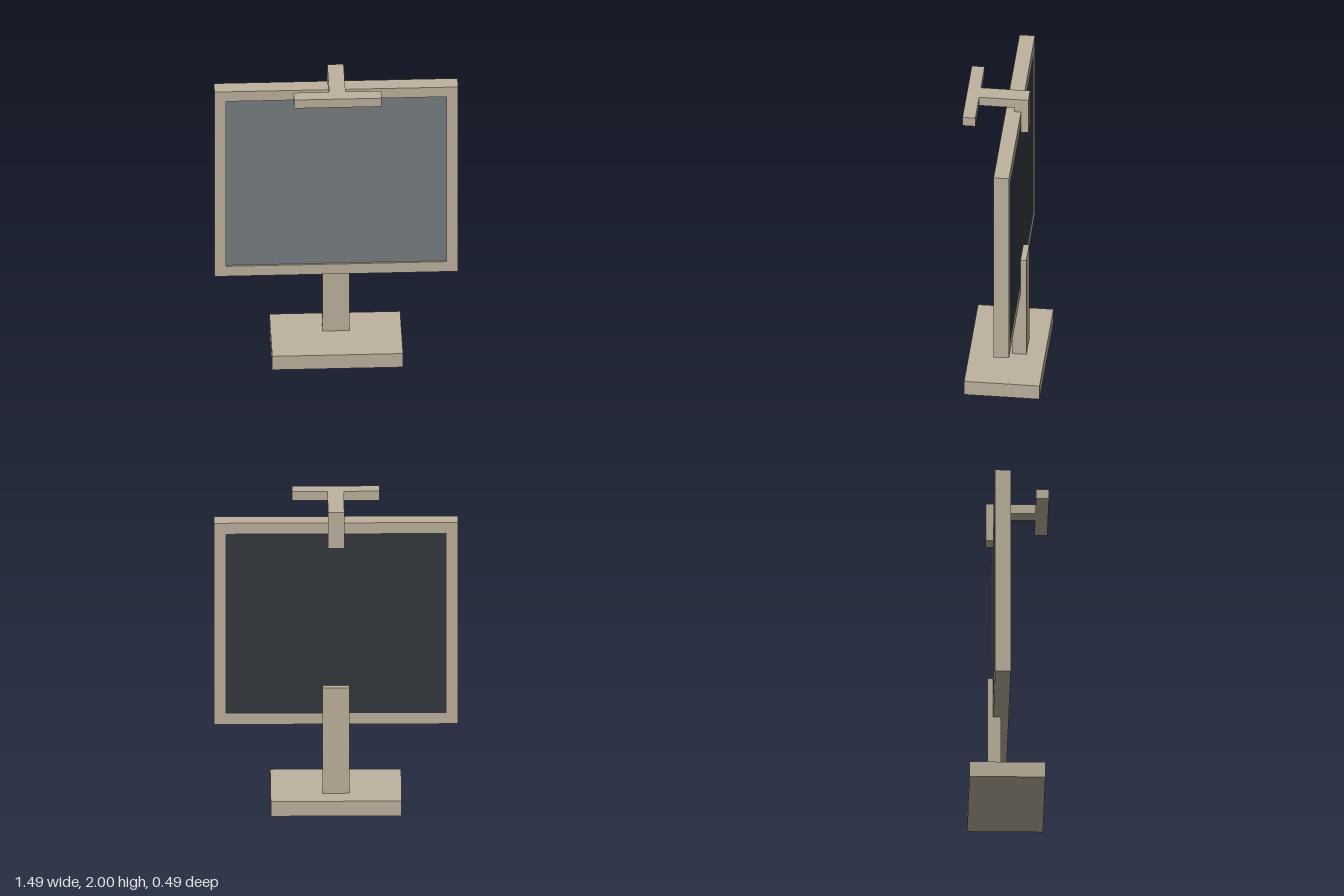
import * as THREE from 'three';

const beige = new THREE.MeshStandardMaterial({ name: 'beige casing', color: 0xbdb29e });
const glass = new THREE.MeshStandardMaterial({ name: 'grey screen', color: 0x777e81 });
const dark = new THREE.MeshStandardMaterial({ name: 'dark backing', color: 0x33393d });

// Box given by its minimum and maximum on each axis
function box(name, [x0, x1], [y0, y1], [z0, z1], material) {
  const mesh = new THREE.Mesh(new THREE.BoxGeometry(x1 - x0, y1 - y0, z1 - z0), material);
  mesh.position.set((x0 + x1) / 2, (y0 + y1) / 2, (z0 + z1) / 2);
  mesh.name = name;
  return mesh;
}

function rectangle(path, x, y0, y1) {
  path.moveTo(-x, y0);
  path.lineTo(x, y0);
  path.lineTo(x, y1);
  path.lineTo(-x, y1);
  path.closePath();
  return path;
}

export function createModel() {
  const model = new THREE.Group();
  model.name = 'monitor';

  // Foot and upright
  model.add(box('base', [-0.4, 0.4], [0, 0.1], [-0.244, 0.22], beige));
  model.add(box('stand', [-0.082, 0.082], [0.1, 0.81], [-0.129, -0.045], beige));

  // Frame with an opening for the screen
  const outline = rectangle(new THREE.Shape(), 0.745, 0.55, 1.908);
  outline.holes.push(rectangle(new THREE.Path(), 0.675, 0.623, 1.837));
  const frame = new THREE.Mesh(
    new THREE.ExtrudeGeometry(outline, { depth: 0.095, bevelEnabled: false }), beige);
  frame.position.z = -0.093;
  frame.name = 'frame';
  model.add(frame);

  // Slightly recessed screen and flush backing
  model.add(box('screen', [-0.675, 0.675], [0.623, 1.837], [-0.017, -0.009], glass));
  model.add(box('backPanel', [-0.675, 0.675], [0.623, 1.837], [-0.093, -0.017], dark));

  // Lamp hooked over the top edge
  const lamp = new THREE.Group();
  lamp.name = 'topLamp';
  lamp.add(box('lampClip', [-0.05, 0.05], [1.755, 1.938], [-0.138, -0.053], beige));
  lamp.add(box('lampArm', [-0.05, 0.05], [1.938, 2], [-0.138, 0.165], beige));
  lamp.add(box('lampBar', [-0.268, 0.268], [1.938, 2], [0.165, 0.244], beige));
  model.add(lamp);

  return model;
}
